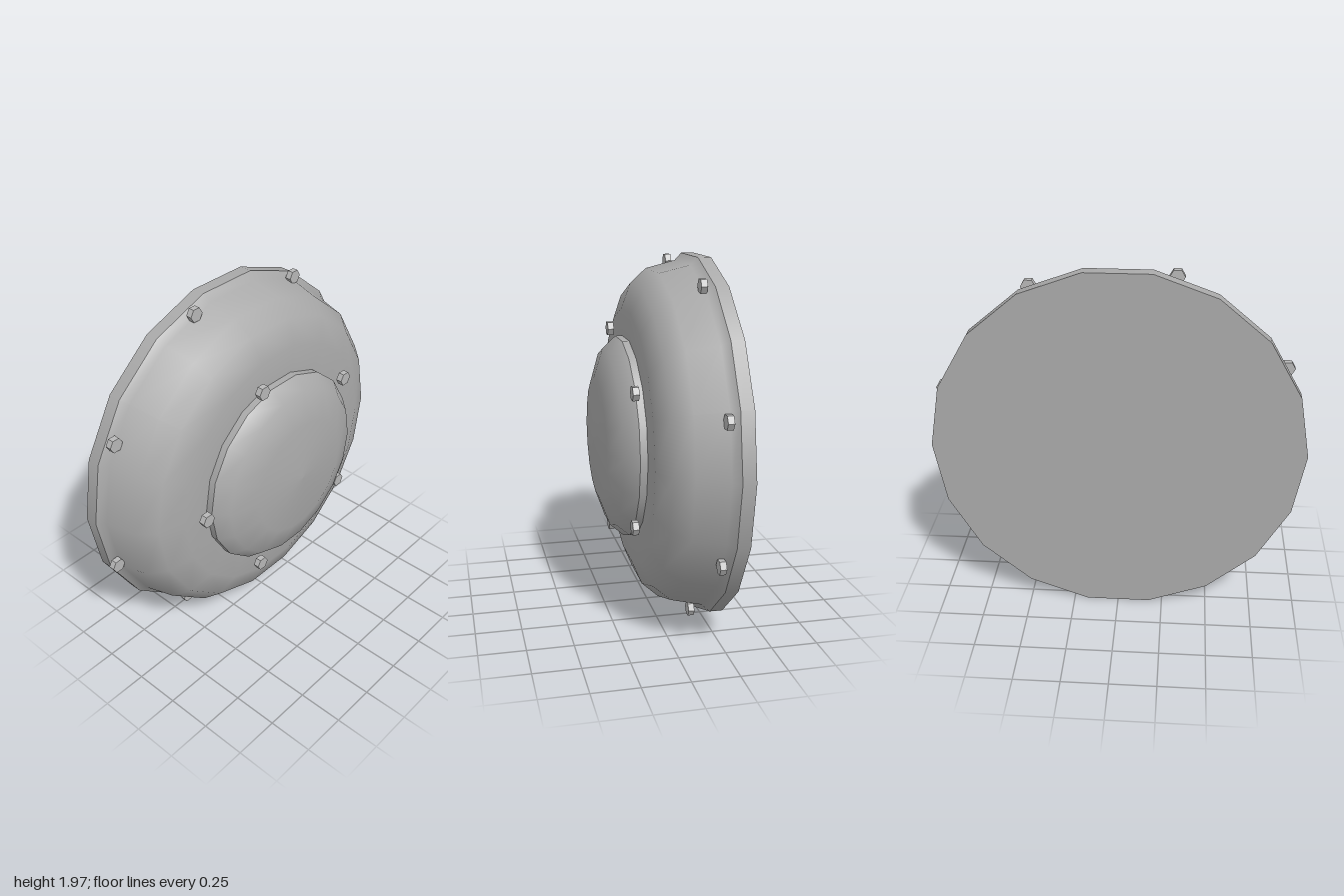
import * as THREE from 'three';

const SIDES = 18;
const CENTRE_Y = 0.985;

export function createModel() {
  const group = new THREE.Group();
  group.name = 'boltedDome';
  const shellGrey = new THREE.MeshStandardMaterial({ color: 0xaaaaaa });
  shellGrey.name = 'shell grey';
  const boltGrey = new THREE.MeshStandardMaterial({ color: 0xb8b8b8 });
  boltGrey.name = 'bolt grey';

  // Turned surface around the x axis; profile points are [x, radius]
  const turned = (name, profile) => {
    const geometry = new THREE.LatheGeometry(
      profile.map(([x, r]) => new THREE.Vector2(r, x)), SIDES);
    geometry.rotateZ(-Math.PI / 2);
    const mesh = new THREE.Mesh(geometry, shellGrey);
    mesh.name = name;
    mesh.position.y = CENTRE_Y;
    group.add(mesh);
  };

  // Separate surfaces keep the edges between them sharp
  turned('backPlate', [[-0.305, 0], [-0.305, 1]]);
  turned('rim', [[-0.305, 1], [-0.235, 1]]);
  turned('body', [[-0.235, 1], [-0.195, 0.96], [-0.03, 0.92], [0.06, 0.84],
    [0.115, 0.705], [0.117, 0.5]]);
  turned('capWall', [[0.115, 0.555], [0.155, 0.555]]);
  turned('capDome', [[0.155, 0.555], [0.228, 0.49], [0.285, 0.33], [0.303, 0]]);

  // Hexagonal bolts, pointing along +x
  const boltGeometry = new THREE.CylinderGeometry(0.04, 0.04, 0.033, 6)
    .rotateZ(-Math.PI / 2).toNonIndexed();
  boltGeometry.computeVertexNormals();

  const boltRing = (name, count, x, radius, startDegrees) => {
    const ring = new THREE.Group();
    ring.name = name;
    for (let i = 0; i < count; i++) {
      const angle = THREE.MathUtils.degToRad(startDegrees + (i * 360) / count);
      const bolt = new THREE.Mesh(boltGeometry, boltGrey);
      bolt.name = 'bolt';
      bolt.position.set(x, CENTRE_Y + radius * Math.sin(angle), radius * Math.cos(angle));
      ring.add(bolt);
    }
    group.add(ring);
  };
  boltRing('outerBolts', 8, -0.182, 0.98, 27.8);
  boltRing('innerBolts', 5, 0.17, 0.604, 0.8);

  return group;
}
